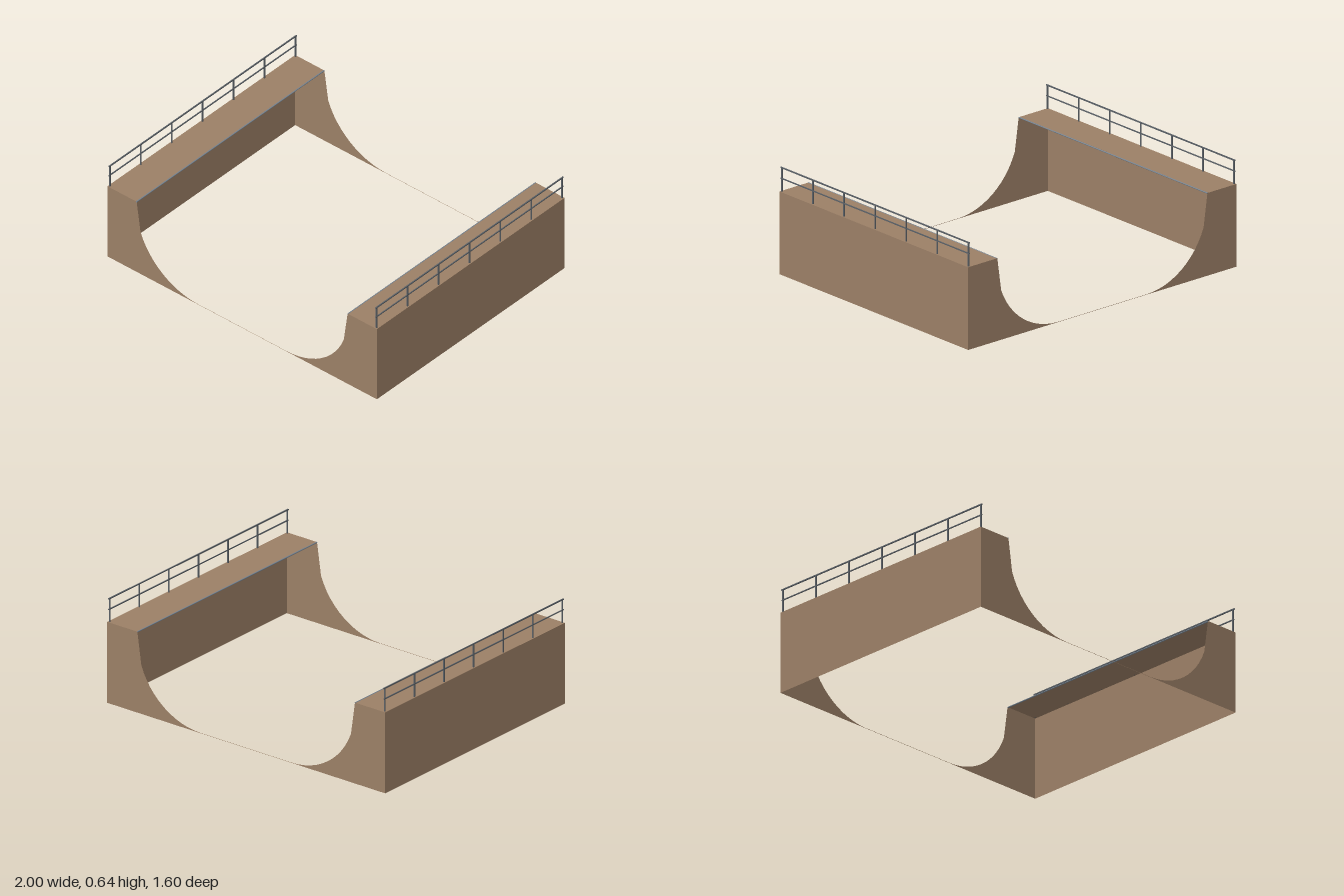
import * as THREE from 'three';

const HALF_X = 1, HALF_Z = 0.8, DECK_Y = 0.495, DECK_IN = 0.783;

export function createModel() {
  const model = new THREE.Group();
  model.name = 'halfPipe';
  const wood = new THREE.MeshStandardMaterial({ color: 0x9b7f66, side: THREE.DoubleSide });
  wood.name = 'plywood brown';
  const railing = new THREE.MeshStandardMaterial({ color: 0x5a6066 });
  railing.name = 'railing grey';
  const steel = new THREE.MeshStandardMaterial({ color: 0x7a8692 });
  steel.name = 'coping steel';

  const add = (parent, name, geometry, material, x, y, z) => {
    const mesh = new THREE.Mesh(geometry, material);
    mesh.name = name;
    mesh.position.set(x, y, z);
    parent.add(mesh);
    return mesh;
  };

  // End panels: the transition profile, joined by a thin strip along the floor
  const flat = 0.33, radius = 0.453, strip = 0.002;
  const curve = [];
  for (let i = 0; i <= 12; i++) {
    const a = (i / 12) * THREE.MathUtils.degToRad(69.5);
    curve.push([flat + radius * Math.sin(a), strip + radius * (1 - Math.cos(a))]);
  }
  curve.push([DECK_IN, DECK_Y]);
  const profile = new THREE.Shape([
    new THREE.Vector2(-HALF_X, 0),
    new THREE.Vector2(HALF_X, 0),
    new THREE.Vector2(HALF_X, DECK_Y),
    ...[...curve].reverse().map(([x, y]) => new THREE.Vector2(x, y)),
    ...curve.map(([x, y]) => new THREE.Vector2(-x, y)),
    new THREE.Vector2(-HALF_X, DECK_Y),
  ]);
  const panel = new THREE.ShapeGeometry(profile);
  add(model, 'frontPanel', panel, wood, 0, 0, HALF_Z);
  add(model, 'backPanel', panel, wood, 0, 0, -HALF_Z).rotation.y = Math.PI;

  const deckWidth = HALF_X - DECK_IN;
  const railX = 0.99, postSize = 0.007, railTop = 0.641;
  for (const s of [1, -1]) {
    const side = new THREE.Group();
    side.name = s > 0 ? 'leftSide' : 'rightSide';
    model.add(side);

    // Outer wall and standing deck, open inside and below
    add(side, 'outerWall', new THREE.PlaneGeometry(2 * HALF_Z, DECK_Y), wood,
      s * HALF_X, DECK_Y / 2, 0).rotation.y = s * Math.PI / 2;
    add(side, 'deck', new THREE.PlaneGeometry(deckWidth, 2 * HALF_Z), wood,
      s * (HALF_X - deckWidth / 2), DECK_Y, 0).rotation.x = -Math.PI / 2;

    // Steel pipe along the lip
    add(side, 'coping', new THREE.CylinderGeometry(0.004, 0.004, 2 * HALF_Z, 8), steel,
      s * (DECK_IN + 0.002), DECK_Y - 0.002, 0).rotation.x = Math.PI / 2;

    // Guard railing
    const postHeight = railTop - DECK_Y;
    for (let i = -3; i <= 3; i++) {
      add(side, 'railPost', new THREE.BoxGeometry(postSize, postHeight, postSize), railing,
        s * railX, DECK_Y + postHeight / 2, i * 0.2635);
    }
    add(side, 'topRail', new THREE.BoxGeometry(postSize, 0.007, 2 * HALF_Z), railing,
      s * railX, railTop - 0.0035, 0);
    add(side, 'midRail', new THREE.BoxGeometry(0.006, 0.006, 2 * HALF_Z), railing,
      s * railX, 0.573, 0);
  }
  return model;
}
